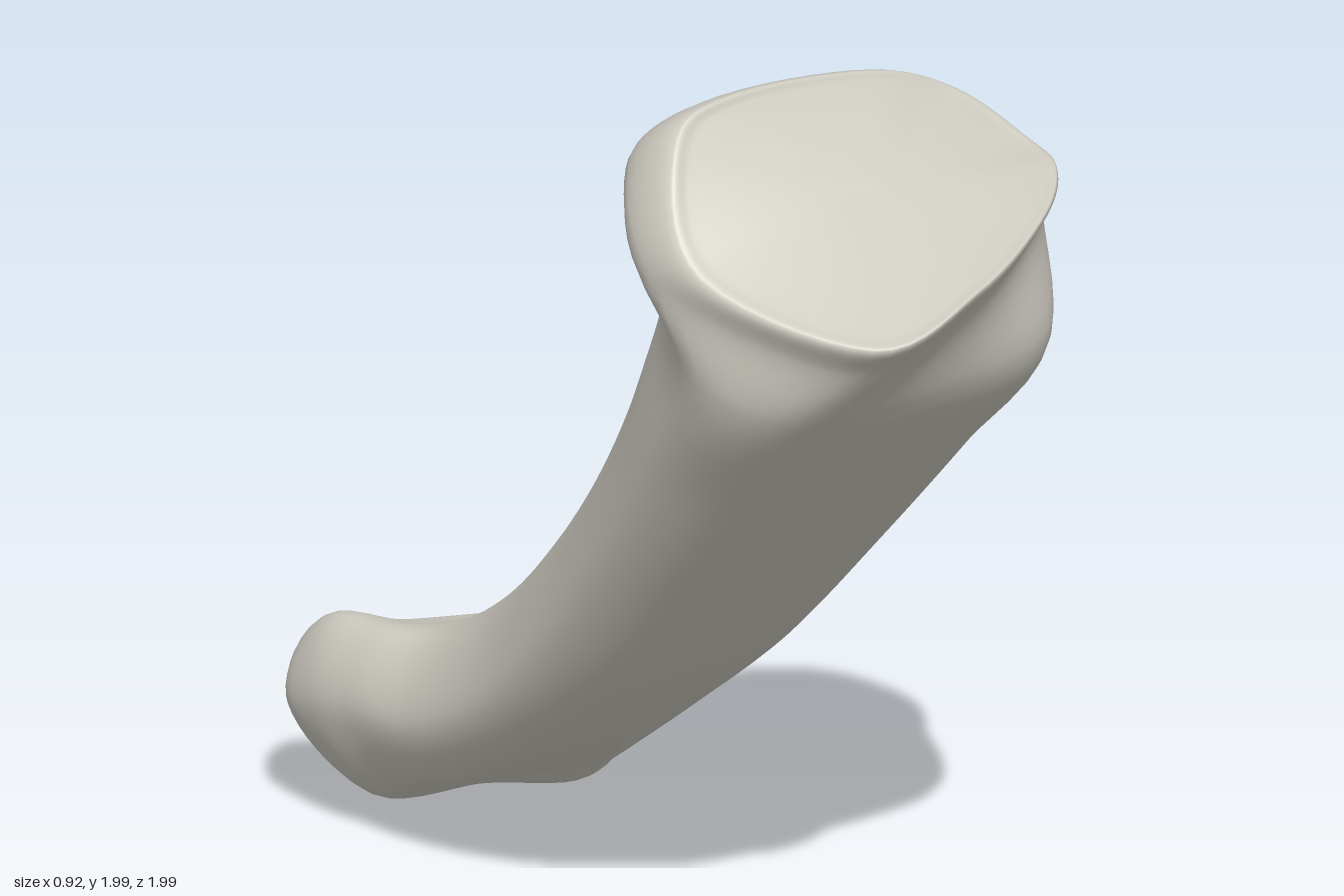
import * as THREE from 'three';
import { mergeVertices } from 'three/addons/utils/BufferGeometryUtils.js';

const V = (x, y, z) => new THREE.Vector3(x, y, z);

// Outlines: [side -1..1, depth 0 (front) .. 1 (back)], starting at the front left
const SHAFT = [[-0.7, 0.03], [0, 0], [0.7, 0.03], [0.97, 0.18], [0.97, 0.4],
  [0.7, 0.74], [0.3, 0.97], [-0.35, 0.98], [-0.77, 0.77], [-1, 0.35]];
const CONDYLE = [[-0.7, 0], [0, 0.02], [0.62, 0], [0.9, 0.2], [1, 0.55],
  [0.82, 0.9], [0.35, 0.93], [-0.35, 0.93], [-0.78, 0.98], [-1, 0.5]];

// Sections from the lower end up: front z, y; back z, y; min x, max x; condyle amount
const SECTIONS = [
  [-0.925, 0.13, -0.965, 0.25, -0.18, 0.37, 1],
  [-0.87, 0.075, -0.96, 0.32, -0.245, 0.43, 1],
  [-0.76, 0.047, -0.87, 0.4, -0.265, 0.455, 1],
  [-0.66, 0.1, -0.73, 0.44, -0.26, 0.43, 0.8],
  [-0.5, 0.18, -0.59, 0.505, -0.25, 0.385, 0.3],
  [-0.28, 0.325, -0.42, 0.63, -0.25, 0.355, 0],
  [0, 0.55, -0.21, 0.84, -0.27, 0.36, 0],
  [0.28, 0.84, 0, 1.1, -0.31, 0.385, 0],
  [0.55, 1.13, 0.17, 1.38, -0.36, 0.41, 0],
  [0.8, 1.4, 0.295, 1.69, -0.42, 0.425, 0],
];

// Widest ring just under the upper joint, and the slanted rim of its face
const COLLAR = [V(-0.23, 1.55, 0.91), V(0.06, 1.6, 0.9), V(0.3, 1.66, 0.79), V(0.42, 1.69, 0.67),
  V(0.45, 1.72, 0.56), V(0.37, 1.8, 0.44), V(0.15, 1.88, 0.37), V(-0.23, 1.9, 0.337),
  V(-0.4, 1.85, 0.39), V(-0.46, 1.68, 0.59)];
const RIM = [V(-0.22, 1.62, 0.975), V(0.04, 1.685, 0.975), V(0.28, 1.745, 0.86), V(0.41, 1.78, 0.73),
  V(0.43, 1.8, 0.6), V(0.33, 1.895, 0.5), V(0.14, 1.97, 0.475), V(-0.2, 1.998, 0.47),
  V(-0.36, 1.94, 0.5), V(-0.43, 1.73, 0.67)];

function section([az, ay, bz, by, x0, x1, k]) {
  return SHAFT.map(([s, t], i) => {
    const side = THREE.MathUtils.lerp(s, CONDYLE[i][0], k);
    const depth = THREE.MathUtils.lerp(t, CONDYLE[i][1], k);
    const x = (x0 + x1) / 2 + side * (x1 - x0) / 2;
    const tilt = k * (x - 0.09);
    return V(x, ay + (by - ay) * depth - 0.155 * tilt, az + (bz - az) * depth + 0.07 * tilt);
  });
}

const centreOf = (pts) => pts.reduce((c, p) => c.addScaledVector(p, 1 / pts.length), V(0, 0, 0));

function boneGeometry() {
  const rings = SECTIONS.map(section);

  // Lower end cap
  const low = centreOf(rings[0]).add(V(0, -0.01, -0.012));
  rings.unshift(rings[0].map(() => low.clone()), rings[0].map((p) => p.clone().lerp(low, 0.4)));

  // Upper joint: collar, rim, then a shallow saddle that levels out to the middle
  rings.push(COLLAR);
  const c = centreOf(RIM);
  const up = V(0, 0.84, 0.54);
  for (const k of [1, 0.92, 0.65, 0.35, 0]) {
    rings.push(RIM.map((p) => {
      const d = p.clone().sub(c);
      const drop = d.dot(up) * (k - k * k) + 0.012 * (1 - k * k);
      return d.multiplyScalar(k).add(c).addScaledVector(up, -drop);
    }));
  }

  // Smooth around each ring, then along the length
  const cols = 72, steps = 6;
  const rows = (rings.length - 1) * steps;
  const loops = rings.map((r) => {
    const curve = new THREE.CatmullRomCurve3(r, true, 'catmullrom', 0.5);
    return Array.from({ length: cols }, (_, j) => curve.getPoint(j / cols));
  });
  const pos = new Float32Array((rows + 1) * cols * 3);
  const index = [];
  for (let j = 0; j < cols; j++) {
    const line = new THREE.CatmullRomCurve3(loops.map((l) => l[j]), false, 'centripetal');
    const n = (j + 1) % cols;
    for (let i = 0; i <= rows; i++) {
      line.getPoint(i / rows).toArray(pos, (i * cols + j) * 3);
      if (i === rows) continue;
      const a = i * cols + j, b = i * cols + n;
      if (i > 0) index.push(a, b, b + cols);
      if (i < rows - 1) index.push(a, b + cols, a + cols);
      else index.push(a, b, a + cols);
    }
  }
  const geo = new THREE.BufferGeometry();
  geo.setAttribute('position', new THREE.BufferAttribute(pos, 3));
  geo.setIndex(index);
  const merged = mergeVertices(geo, 1e-5);
  merged.computeVertexNormals();
  return merged;
}

export function createModel() {
  const group = new THREE.Group();
  group.name = 'fingerBone';
  const boneMaterial = new THREE.MeshStandardMaterial({ color: 0xcdcac0 });
  boneMaterial.name = 'bone';
  const bone = new THREE.Mesh(boneGeometry(), boneMaterial);
  bone.name = 'boneShaftAndJoints';
  group.add(bone);
  return group;
}
